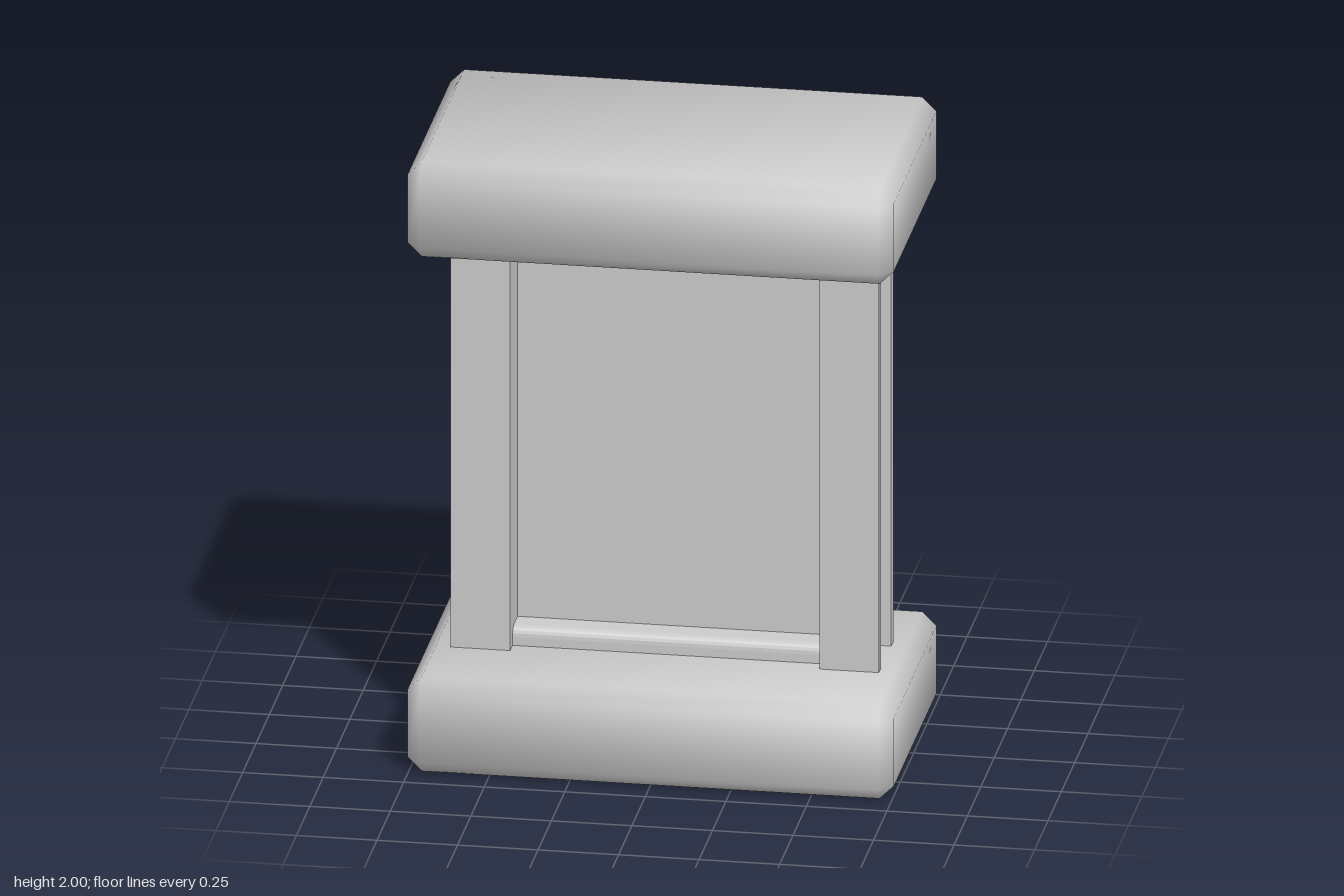
import * as THREE from 'three';
import { ConvexGeometry } from 'three/addons/geometries/ConvexGeometry.js';

const grey = new THREE.MeshStandardMaterial({ color: 0xcccccc });
grey.name = 'plain grey';

function part(name, geometry, x = 0, y = 0, z = 0) {
  const mesh = new THREE.Mesh(geometry, grey);
  mesh.name = name;
  mesh.position.set(x, y, z);
  return mesh;
}

// Chamfered block whose normals blend softly over the faces
function softBlock(w, h, d, bevel) {
  const half = [w / 2, h / 2, d / 2];
  const points = [];
  for (const sx of [-1, 1]) for (const sy of [-1, 1]) for (const sz of [-1, 1]) {
    for (let axis = 0; axis < 3; axis++) {
      const p = [sx, sy, sz].map((s, i) => s * (half[i] - (i === axis ? 0 : bevel)));
      points.push(new THREE.Vector3(...p));
    }
  }
  const geometry = new ConvexGeometry(points);
  const pos = geometry.attributes.position;
  const n = new THREE.Vector3();
  for (let i = 0; i < pos.count; i++) {
    const p = [pos.getX(i), pos.getY(i), pos.getZ(i)];
    n.set(...p.map((v, k) => Math.sign(v) * (half[k] - Math.abs(v) < 1e-4 ? 1 : 0.39))).normalize();
    geometry.attributes.normal.setXYZ(i, n.x, n.y, n.z);
  }
  return geometry;
}

// Upside-down U, open at the bottom, centred on z
function archFrame(outerX, innerX, bottom, innerTop, outerTop, depth) {
  const shape = new THREE.Shape([
    [-outerX, bottom], [-innerX, bottom], [-innerX, innerTop], [innerX, innerTop],
    [innerX, bottom], [outerX, bottom], [outerX, outerTop], [-outerX, outerTop],
  ].map(([x, y]) => new THREE.Vector2(x, y)));
  const geometry = new THREE.ExtrudeGeometry(shape, { depth, bevelEnabled: false });
  return geometry.translate(0, 0, -depth / 2);
}

export function createModel() {
  const group = new THREE.Group();
  group.name = 'framedPanelStand';

  // Base and cap
  const slab = softBlock(1.51, 0.31, 0.885, 0.044);
  group.add(part('base', slab, 0, 0.155, 0), part('cap', slab, 0, 1.845, 0));

  // Front and back frames with a narrower spacer between them
  const frame = archFrame(0.665, 0.48, 0.29, 1.628, 1.71, 0.042);
  group.add(part('frontFrame', frame, 0, 0, 0.114), part('backFrame', frame, 0, 0, -0.114));
  group.add(part('spacerFrame', archFrame(0.52, 0.48, 0.29, 1.628, 1.67, 0.188)));

  // Sheet set slightly behind the middle
  group.add(part('panel', new THREE.BoxGeometry(1.27, 1.37, 0.042), 0, 0.975, -0.024));

  // Sill bar with rounded upper edges
  const r = 0.032, hw = 0.09, top = 0.37;
  const sill = new THREE.Shape();
  sill.moveTo(-hw, 0.29);
  sill.lineTo(hw, 0.29);
  sill.lineTo(hw, top - r);
  sill.quadraticCurveTo(hw, top, hw - r, top);
  sill.lineTo(-hw + r, top);
  sill.quadraticCurveTo(-hw, top, -hw, top - r);
  sill.closePath();
  const bar = new THREE.ExtrudeGeometry(sill, { depth: 1.07, bevelEnabled: false, curveSegments: 5 });
  bar.translate(0, 0, -0.535).rotateY(Math.PI / 2);
  group.add(part('sillBar', bar));

  return group;
}
